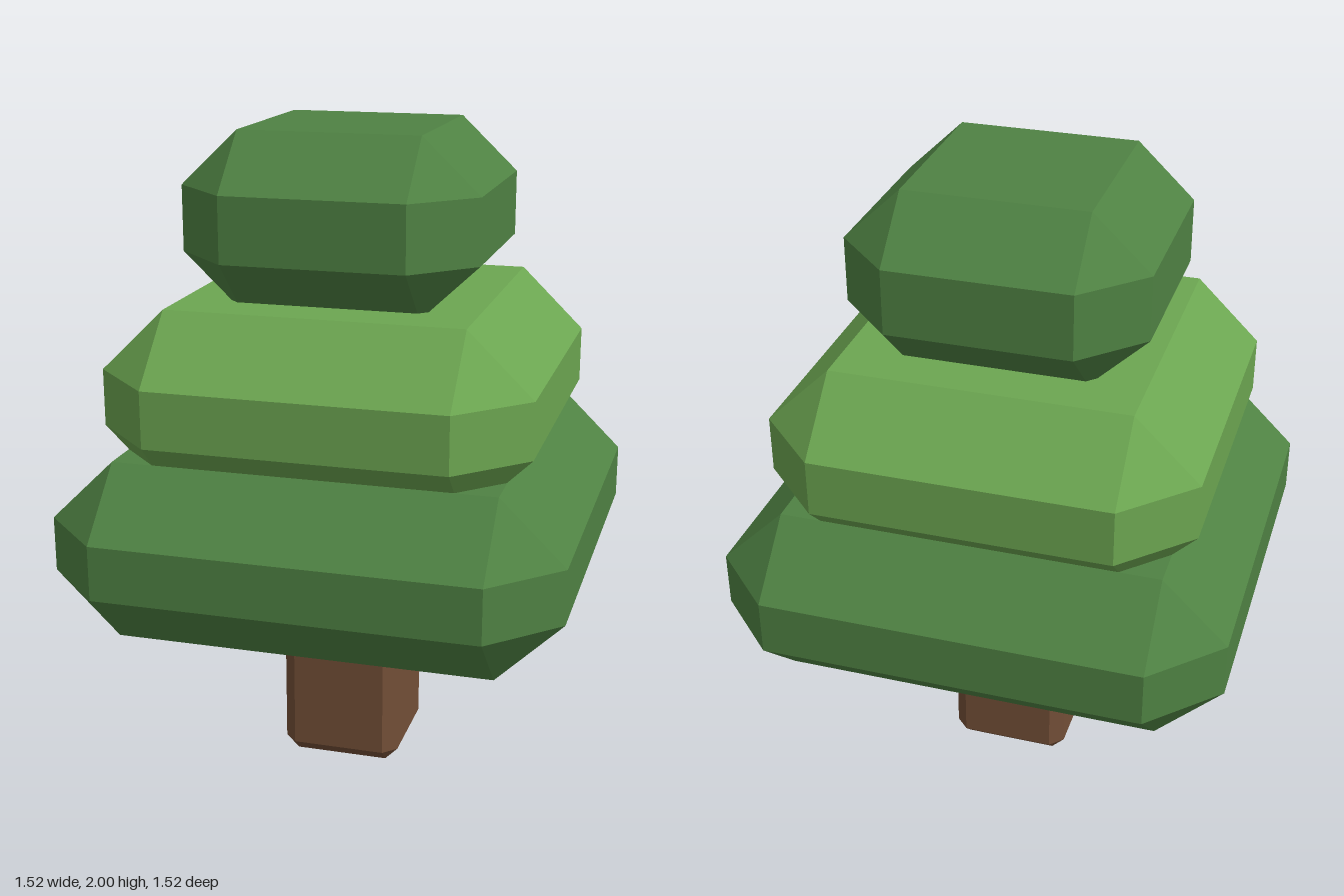
import * as THREE from 'three';
import { ConvexGeometry } from 'three/addons/geometries/ConvexGeometry.js';

// Square block with every edge and corner chamfered.
function chamferedBlock(half, bottom, top, bevelXZ, bevelY) {
  const inner = half - bevelXZ;
  const points = [];
  for (const sx of [-1, 1]) {
    for (const sz of [-1, 1]) {
      for (const y of [bottom, top]) points.push(new THREE.Vector3(sx * inner, y, sz * inner));
      for (const y of [bottom + bevelY, top - bevelY]) {
        points.push(new THREE.Vector3(sx * half, y, sz * inner));
        points.push(new THREE.Vector3(sx * inner, y, sz * half));
      }
    }
  }
  return new ConvexGeometry(points);
}

function material(name, color) {
  const m = new THREE.MeshStandardMaterial({ color });
  m.name = name;
  return m;
}

export function createModel() {
  const tree = new THREE.Group();
  tree.name = 'tree';

  const bark = material('bark brown', 0x734f37);
  const darkLeaf = material('dark green', 0x4f8243);
  const lightLeaf = material('light green', 0x6ca651);

  // name, half width, bottom, top, horizontal bevel, vertical bevel, material
  const parts = [
    ['trunk', 0.185, 0, 0.7, 0.04, 0.04, bark],
    ['lowerFoliage', 0.762, 0.53, 1.075, 0.195, 0.19, darkLeaf],
    ['middleFoliage', 0.638, 0.955, 1.505, 0.195, 0.19, lightLeaf],
    ['topFoliage', 0.442, 1.48, 2, 0.172, 0.163, darkLeaf],
  ];

  for (const [name, half, bottom, top, bevelXZ, bevelY, mat] of parts) {
    const mesh = new THREE.Mesh(chamferedBlock(half, bottom, top, bevelXZ, bevelY), mat);
    mesh.name = name;
    tree.add(mesh);
  }
  return tree;
}
